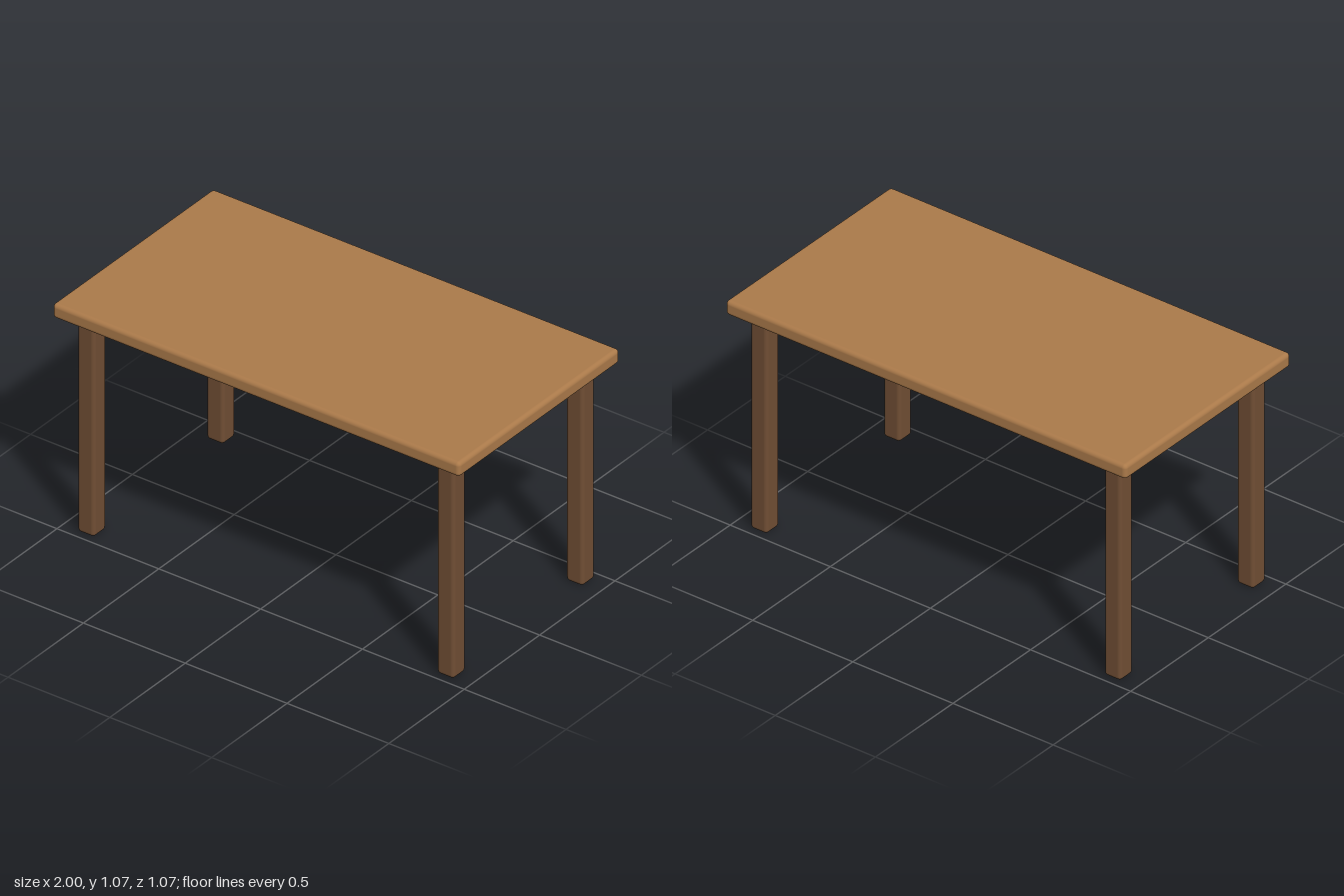
import * as THREE from 'three';
import { RoundedBoxGeometry } from 'three/addons/geometries/RoundedBoxGeometry.js';

export function createModel() {
  const table = new THREE.Group();
  table.name = 'table';

  const lightWood = new THREE.MeshStandardMaterial({ color: 0xab7a4a });
  lightWood.name = 'light wood';
  const darkWood = new THREE.MeshStandardMaterial({ color: 0x704e34 });
  darkWood.name = 'dark wood';

  // Table top: a slab with softly rounded edges
  const top = new THREE.Mesh(new RoundedBoxGeometry(2, 0.067, 1.067, 4, 0.018), lightWood);
  top.name = 'tableTop';
  top.position.y = 1.0335;
  table.add(top);

  // Four square legs, one near each corner
  const legGeometry = new RoundedBoxGeometry(0.083, 1, 0.083, 4, 0.016);
  for (const [end, z] of [['front', 0.428], ['back', -0.428]]) {
    for (const [side, x] of [['Left', 0.883], ['Right', -0.883]]) {
      const leg = new THREE.Mesh(legGeometry, darkWood);
      leg.name = `${end}${side}Leg`;
      leg.position.set(x, 0.5, z);
      table.add(leg);
    }
  }

  return table;
}
